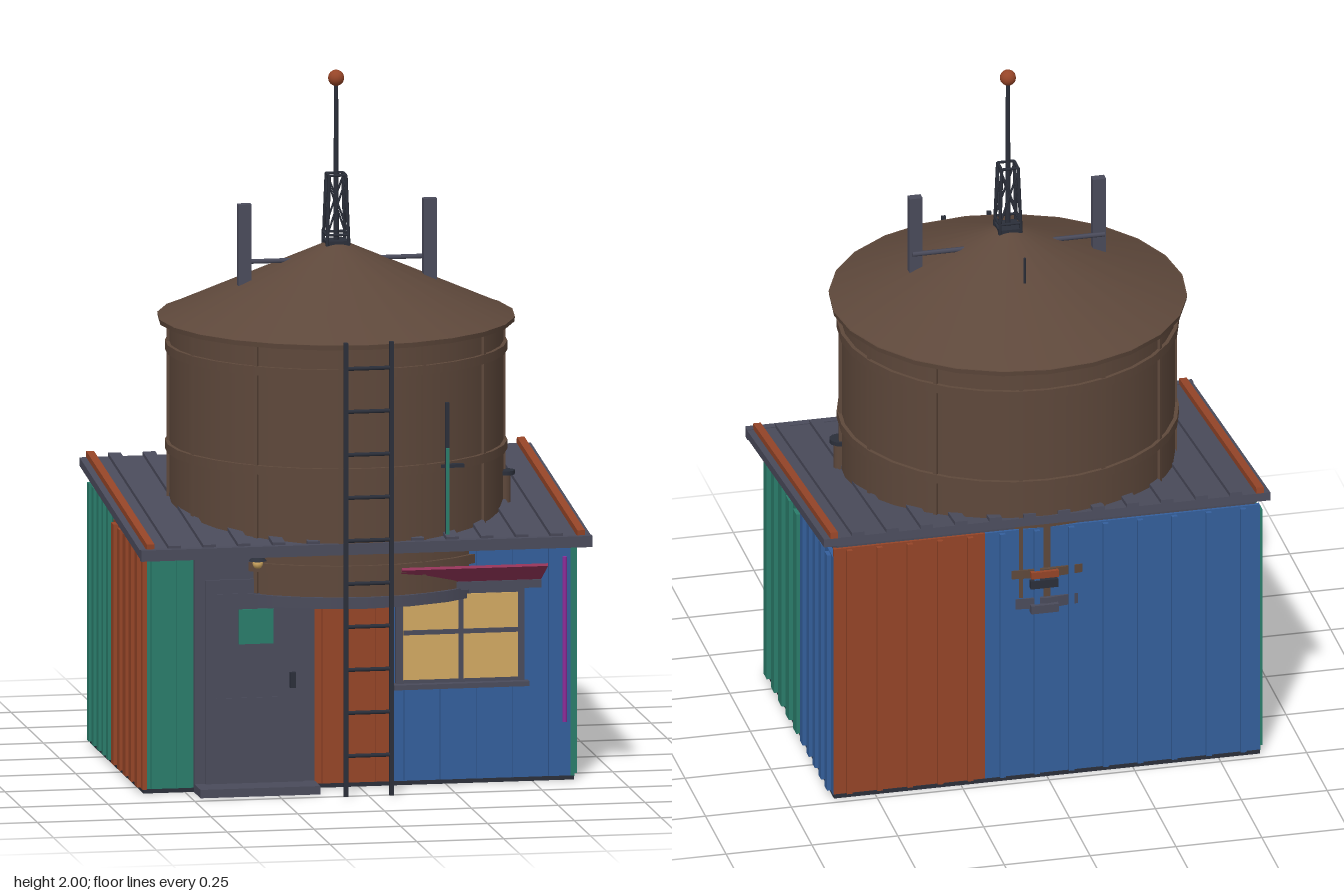
import * as THREE from 'three';

const mat = (name, color, extra = {}) => {
  const m = new THREE.MeshStandardMaterial({ color, ...extra });
  m.name = name;
  return m;
};

export function createModel() {
  const M = {
    brown: mat('tankBrown', 0x5e483b),
    slate: mat('slateGrey', 0x4a4b5b),
    dark: mat('darkSteel', 0x2b2f3a),
    rust: mat('rustOrange', 0x964528),
    blue: mat('panelBlue', 0x345f9c),
    teal: mat('panelTeal', 0x2a7d6b),
    tan: mat('windowGlow', 0xd2a962),
    wine: mat('awningWine', 0x96355a),
    purple: mat('tubePurple', 0x8f2d9c),
  };
  const root = new THREE.Group();
  root.name = 'rooftopTankHouse';

  const add = (name, geo, m, x = 0, y = 0, z = 0, parent = root) => {
    const mesh = new THREE.Mesh(geo, m);
    mesh.name = name;
    mesh.position.set(x, y, z);
    parent.add(mesh);
    return mesh;
  };
  // Box given by its limits on each axis
  const box = (name, m, [x0, x1], [y0, y1], [z0, z1], parent = root) =>
    add(name, new THREE.BoxGeometry(x1 - x0, y1 - y0, z1 - z0), m,
      (x0 + x1) / 2, (y0 + y1) / 2, (z0 + z1) / 2, parent);
  const cyl = (name, m, r0, r1, y0, y1, x = 0, z = 0, seg = 12, parent = root) =>
    add(name, new THREE.CylinderGeometry(r1, r0, y1 - y0, seg), m, x, (y0 + y1) / 2, z, parent);
  // Thin bar joining two points
  const bar = (name, m, a, b, r, parent = root) => {
    const p = new THREE.Vector3(...a), q = new THREE.Vector3(...b);
    const d = q.clone().sub(p);
    const mesh = add(name, new THREE.CylinderGeometry(r, r, d.length(), 6), m, 0, 0, 0, parent);
    mesh.position.copy(p).add(q).multiplyScalar(0.5);
    mesh.quaternion.setFromUnitVectors(new THREE.Vector3(0, 1, 0), d.normalize());
  };
  const group = (name, parent = root) => {
    const g = new THREE.Group();
    g.name = name;
    parent.add(g);
    return g;
  };

  // Hut core with sloping top, and floor
  const side = new THREE.Shape([[-0.34, 0.01], [0.465, 0.01], [0.465, 0.80], [-0.34, 0.71]]
    .map(([u, y]) => new THREE.Vector2(u, y)));
  const core = new THREE.ExtrudeGeometry(side, { depth: 1.22, bevelEnabled: false });
  core.rotateY(Math.PI / 2);
  add('hutCore', core, M.slate, -0.61);
  box('floor', M.dark, [-0.62, 0.62], [0, 0.012], [-0.475, 0.35]);

  // Ribbed wall panel facing local +z, its back on the given point
  const panel = (name, m, w, h, x, z, rotY, pitch, ribW) => {
    const g = group(name);
    g.position.set(x, 0.01, z);
    g.rotation.y = rotY;
    box('sheet', m, [-w / 2, w / 2], [0, h], [0, 0.012], g);
    const n = Math.max(1, Math.round(w / pitch));
    for (let i = 0; i < n; i++) {
      const c = -w / 2 + (i + 0.5) * w / n;
      box('rib', m, [c - ribW / 2, c + ribW / 2], [0.004, h - 0.004], [0.011, 0.024], g);
    }
  };
  const Q = Math.PI / 2;
  panel('frontTealPanel', M.teal, 0.145, 0.69, -0.5475, 0.337, 0, 0.075, 0.03);
  panel('frontRustPanel', M.rust, 0.23, 0.69, -0.015, 0.337, 0, 0.075, 0.03);
  panel('frontBluePanel', M.blue, 0.52, 0.69, 0.36, 0.337, 0, 0.1, 0.045);
  panel('leftTealPanel', M.teal, 0.45, 0.70, 0.61, 0.125, Q, 0.09, 0.04);
  panel('leftBluePanel', M.blue, 0.372, 0.75, 0.61, -0.286, Q, 0.075, 0.03);
  panel('rightRustPanel', M.rust, 0.45, 0.70, -0.61, 0.125, -Q, 0.09, 0.04);
  panel('rightTealPanel', M.teal, 0.372, 0.75, -0.61, -0.286, -Q, 0.075, 0.03);
  panel('backRustPanel', M.rust, 0.44, 0.775, 0.4, -0.461, 2 * Q, 0.09, 0.016);
  panel('backBluePanel', M.blue, 0.80, 0.775, -0.22, -0.461, 2 * Q, 0.104, 0.016);

  // Vents on the back wall
  box('backVentHood', M.rust, [-0.03, 0.05], [0.635, 0.655], [-0.495, -0.47]);
  box('backVentSlot', M.dark, [-0.03, 0.05], [0.60, 0.625], [-0.488, -0.47]);
  box('backVentSill', M.slate, [-0.03, 0.05], [0.525, 0.55], [-0.495, -0.47]);

  // Sloping ribbed roof
  const roof = group('roof');
  roof.position.set(0, 0.778, -0.004);
  roof.rotation.x = 0.11;
  box('roofSheet', M.slate, [-0.65, 0.65], [-0.032, -0.008], [-0.476, 0.468], roof);
  for (let i = 0; i < 12; i++) {
    const x = -0.55 + i * 0.1;
    box('roofRib', M.slate, [x - 0.018, x + 0.018], [-0.009, 0.003], [-0.476, 0.468], roof);
  }
  for (const s of [-1, 1])
    box('roofEdgeStrip', M.rust, [s * 0.62 - 0.011, s * 0.62 + 0.011], [-0.009, 0.01], [-0.476, 0.468], roof);
  box('fascia', M.slate, [-0.65, 0.65], [0.69, 0.722], [0.455, 0.478]);

  // Door with frame, panel, sign, handle and step
  const door = group('door');
  box('doorFrame', M.slate, [-0.475, -0.13], [0.012, 0.69], [0.337, 0.362], door);
  box('doorPanel', M.slate, [-0.445, -0.16], [0.02, 0.61], [0.36, 0.37], door);
  for (const [y0, y1] of [[0.06, 0.27], [0.34, 0.57]])
    box('doorInset', M.slate, [-0.415, -0.22], [y0, y1], [0.369, 0.373], door);
  box('doorSign', M.teal, [-0.35, -0.25], [0.425, 0.525], [0.372, 0.378], door);
  box('doorHandle', M.dark, [-0.203, -0.186], [0.295, 0.34], [0.369, 0.382], door);
  box('doorStep', M.slate, [-0.475, -0.13], [0, 0.024], [0.35, 0.455], door);

  // Window with crossed bars and sill
  const win = group('window');
  box('windowFrame', M.slate, [0.105, 0.475], [0.29, 0.565], [0.337, 0.365], win);
  box('windowPane', M.tan, [0.125, 0.455], [0.305, 0.548], [0.364, 0.37], win);
  box('windowBarUpright', M.slate, [0.283, 0.297], [0.305, 0.548], [0.368, 0.376], win);
  box('windowBarCross', M.slate, [0.125, 0.455], [0.435, 0.448], [0.368, 0.376], win);
  box('windowSill', M.slate, [0.095, 0.485], [0.28, 0.294], [0.35, 0.39], win);

  // Awning rising outwards from its ledge
  box('awningLedge', M.slate, [0.1, 0.52], [0.562, 0.585], [0.345, 0.385]);
  const awning = add('awning', new THREE.BoxGeometry(0.42, 0.008, 0.14), M.wine, 0.31, 0.613, 0.424);
  awning.rotation.x = -0.48;

  // Light tube and door lamp
  bar('lightTube', M.purple, [0.59, 0.17, 0.367], [0.59, 0.645, 0.367], 0.007);
  cyl('lampHood', M.dark, 0.026, 0.012, 0.668, 0.682, -0.3, 0.4);
  add('lampBulb', new THREE.SphereGeometry(0.015, 10, 8), M.tan, -0.3, 0.66, 0.4);
  bar('lampArm', M.dark, [-0.3, 0.678, 0.35], [-0.3, 0.678, 0.4], 0.005);

  // Water tank: base, drum, hoops, battens and conical lid
  const tank = group('tank');
  cyl('tankBase', M.slate, 0.485, 0.485, 0.535, 0.567, 0, 0, 24, tank);
  cyl('tankDrum', M.brown, 0.474, 0.474, 0.565, 1.29, 0, 0, 32, tank);
  for (const y of [0.645, 0.925, 1.21])
    cyl('tankHoop', M.brown, 0.485, 0.485, y - 0.013, y + 0.013, 0, 0, 32, tank);
  for (let i = 0; i < 12; i++) {
    const a = (21 + i * 30) * Math.PI / 180;
    const b = add('tankBatten', new THREE.BoxGeometry(0.012, 0.72, 0.012), M.brown,
      0.474 * Math.sin(a), 0.93, 0.474 * Math.cos(a), tank);
    b.rotation.y = a;
  }
  cyl('lidRim', M.brown, 0.506, 0.508, 1.283, 1.297, 0, 0, 24, tank);
  cyl('lidCone', M.brown, 0.506, 0.03, 1.296, 1.505, 0, 0, 24, tank);

  // Level gauge on the drum
  box('gaugeRod', M.dark, [0.235, 0.247], [0.73, 1.11], [0.42, 0.43]);
  box('gaugeLevel', M.teal, [0.236, 0.246], [0.73, 0.98], [0.429, 0.436]);
  box('gaugeBracket', M.dark, [0.19, 0.29], [0.922, 0.932], [0.41, 0.428]);

  // Vent pipe beside the drum
  cyl('ventPipe', M.brown, 0.018, 0.018, 0.74, 0.84, 0.468, 0.09);
  cyl('ventCap', M.dark, 0.03, 0.03, 0.838, 0.85, 0.468, 0.09);

  // Ladder
  const ladder = group('ladder');
  for (const s of [-1, 1])
    box('ladderRail', M.dark, [s * 0.066 - 0.006, s * 0.066 + 0.006], [0, 1.305], [0.499, 0.511], ladder);
  for (let i = 0; i < 10; i++)
    bar('ladderRung', M.dark, [-0.066, 0.117 + i * 0.1237, 0.505], [0.066, 0.117 + i * 0.1237, 0.505], 0.006, ladder);

  // Lattice tower with mast and beacon
  const tower = group('tower');
  const corner = (i, y) => {
    const h = y < 1.6 ? 0.031 : 0.024;
    return [[h, y, h], [h, y, -h], [-h, y, -h], [-h, y, h]][i % 4];
  };
  box('towerFoot', M.dark, [-0.033, 0.033], [1.485, 1.512], [-0.033, 0.033], tower);
  for (let i = 0; i < 4; i++) {
    bar('towerLeg', M.dark, corner(i, 1.5), corner(i, 1.7), 0.005, tower);
    bar('towerBrace', M.dark, corner(i, 1.53), corner(i + 1, 1.69), 0.003, tower);
    bar('towerBrace', M.dark, corner(i + 1, 1.53), corner(i, 1.69), 0.003, tower);
    for (const y of [1.53, 1.7])
      bar('towerRing', M.dark, corner(i, y), corner(i + 1, y), 0.004, tower);
  }
  cyl('mast', M.dark, 0.008, 0.006, 1.51, 1.97, 0, 0, 8, tower);
  add('beacon', new THREE.SphereGeometry(0.023, 16, 12), M.rust, 0, 1.977, 0, tower);

  // Antenna panels on arms, and a rod at the back of the lid
  for (const s of [-1, 1]) {
    bar('antennaArm', M.slate, [s * 0.1, 1.455, -0.008], [s * 0.28, 1.455, -0.008], 0.007);
    box('antennaPanel', M.slate, [s * 0.267 - 0.019, s * 0.267 + 0.019], [1.39, 1.625], [0, 0.026]);
  }
  bar('lidRod', M.dark, [0, 1.38, -0.205], [0, 1.505, -0.205], 0.004);

  return root;
}
